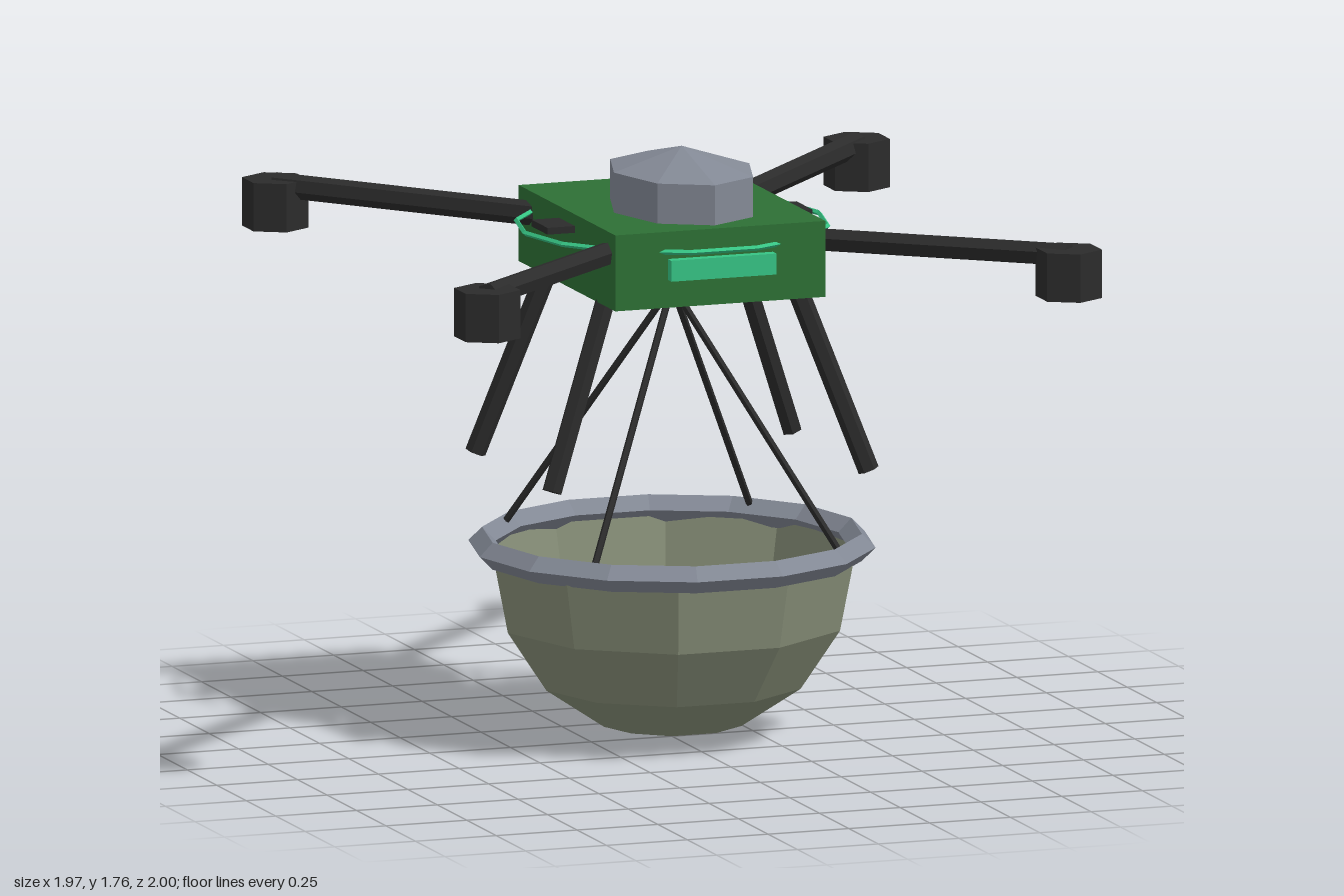
import * as THREE from 'three';

const mat = (name, color) => {
  const m = new THREE.MeshStandardMaterial({ color, flatShading: true });
  m.name = name;
  return m;
};

export function createModel() {
  const model = new THREE.Group();
  model.name = 'deliveryDrone';

  const green = mat('hull green', 0x2d7035);
  const black = mat('frame black', 0x2b2b2b);
  const grey = mat('metal grey', 0x838995);
  const mint = mat('light mint', 0x36c484);
  const olive = mat('basket olive', 0x878f78);
  olive.side = THREE.DoubleSide;

  const add = (name, geometry, material, x = 0, y = 0, z = 0) => {
    const mesh = new THREE.Mesh(geometry, material);
    mesh.name = name;
    mesh.position.set(x, y, z);
    model.add(mesh);
    return mesh;
  };

  // Straight rod between two points
  const rod = (name, a, b, radius, sides) => {
    const from = new THREE.Vector3(...a), to = new THREE.Vector3(...b);
    const dir = to.clone().sub(from);
    const mesh = add(name, new THREE.CylinderGeometry(radius, radius, dir.length(), sides), black);
    mesh.position.copy(from).add(to).multiplyScalar(0.5);
    mesh.quaternion.setFromUnitVectors(new THREE.Vector3(0, 1, 0), dir.normalize());
  };

  // Flat-lying ring
  const ring = (name, radius, tube, sides, material, y) => {
    const geometry = new THREE.TorusGeometry(radius, tube, sides, 14).rotateX(Math.PI / 2);
    add(name, geometry, material, 0, y, 0);
  };

  // Hull
  add('body', new THREE.BoxGeometry(0.65, 0.225, 0.82), green, 0, 1.477, 0);
  add('frontLight', new THREE.BoxGeometry(0.325, 0.062, 0.04), mint, 0, 1.478, 0.42);
  add('sideTabs', new THREE.BoxGeometry(0.82, 0.02, 0.135), black, 0, 1.545, 0);
  ring('lightRing', 0.455, 0.008, 4, mint, 1.53);

  // Faceted oval dome with a low pointed roof
  const dome = new THREE.LatheGeometry([
    new THREE.Vector2(0.283, 1.58),
    new THREE.Vector2(0.283, 1.708),
    new THREE.Vector2(0, 1.774),
  ], 8).scale(0.74, 1, 1);
  add('dome', dome, grey, 0, 0, 0.082);

  // Arms, motors, landing legs and cords, one set per corner
  for (const sx of [-1, 1]) {
    for (const sz of [-1, 1]) {
      rod('arm', [sx * 0.28, 1.52, sz * 0.29], [sx * 0.9, 1.54, sz * 0.9], 0.036, 6);
      add('motor', new THREE.CylinderGeometry(0.098, 0.098, 0.143, 6), black, sx * 0.9, 1.487, sz * 0.9);
      rod('leg', [sx * 0.28, 1.41, sz * 0.24], [sx * 0.49, 0.825, sz * 0.325], 0.031, 6);
      rod('cord', [0, 1.345, 0], [sx * 0.38, 0.6, sz * 0.38], 0.011, 5);
    }
  }

  // Hanging basket: open half sphere with a diamond-section rim
  const bowl = new THREE.SphereGeometry(0.55, 10, 4, 0, Math.PI * 2, Math.PI / 2, Math.PI / 2);
  add('basket', bowl, olive, 0, 0.56, 0);
  ring('basketRim', 0.555, 0.04, 4, grey, 0.58);

  return model;
}
